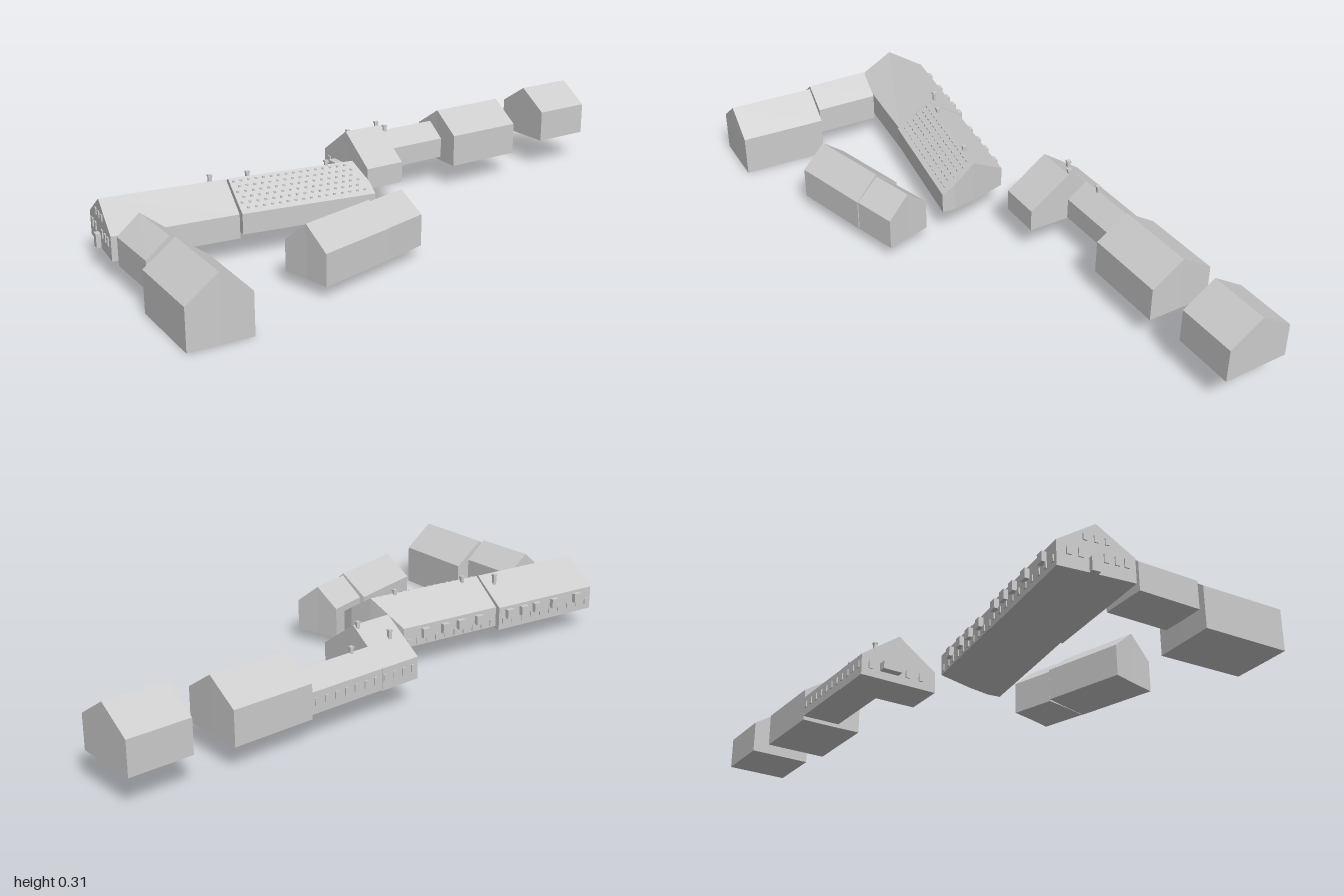
import * as THREE from 'three';

const grey = new THREE.MeshStandardMaterial({ color: 0xcccccc, flatShading: true });

// Gabled block: two end sections, each a row of [x, z, height] points, lofted and dropped to a base
function block(name, base, left, right) {
  const pos = [];
  const top = p => [p[0], p[2], p[1]];
  const low = p => [p[0], base, p[1]];
  const quad = (a, b, c, d) => pos.push(...a, ...b, ...c, ...a, ...c, ...d);
  const n = left.length - 1;
  for (let i = 0; i < n; i++) {
    const [l, m, r, s] = [left[i], left[i + 1], right[i], right[i + 1]];
    quad(top(l), top(m), top(s), top(r)); // roof
    quad(low(l), low(m), top(m), top(l)); // left end
    quad(low(s), low(r), top(r), top(s)); // right end
    quad(low(l), low(r), low(s), low(m)); // floor
  }
  quad(low(right[0]), low(left[0]), top(left[0]), top(right[0]));
  quad(low(left[n]), low(right[n]), top(right[n]), top(left[n]));
  const g = new THREE.BufferGeometry();
  g.setAttribute('position', new THREE.Float32BufferAttribute(pos, 3));
  g.computeVertexNormals();
  const mesh = new THREE.Mesh(g, grey);
  mesh.name = name;
  return mesh;
}

// Simple gable house from eave / ridge / eave points at both ends
function house(name, base, eave, ridge, left, right) {
  const h = [eave, ridge, eave];
  const lift = pts => pts.map((p, i) => [...p, h[i]]);
  return block(name, base, lift(left), lift(right));
}

function box(name, x, y, z, w, h, d, turn = 0) {
  const m = new THREE.Mesh(new THREE.BoxGeometry(w, h, d), grey);
  m.name = name;
  m.position.set(x, y, z);
  m.rotation.y = turn;
  return m;
}

// Box set on a wall running from p to q at fraction t
function onWall(name, p, q, t, y, w, h, d) {
  const dx = q[0] - p[0], dz = q[1] - p[1];
  return box(name, p[0] + dx * t, y, p[1] + dz * t, w, h, d, Math.atan2(-dz, dx));
}

export function createModel() {
  const model = new THREE.Group();
  model.name = 'farmstead';
  const add = (...m) => model.add(...m);

  // Detached house and the stepped range beside it
  add(
    house('detachedHouse', 0.113, 0.235, 0.313,
      [[0.625, -0.88], [0.69, -0.78], [0.755, -0.68]],
      [[0.815, -1], [0.88, -0.9], [0.945, -0.8]]),
    house('barn', 0.088, 0.212, 0.29,
      [[0.245, -0.637], [0.31, -0.537], [0.37, -0.437]],
      [[0.5, -0.8], [0.565, -0.7], [0.628, -0.6]]),
    house('linkWing', 0.103, 0.18, 0.235,
      [[-0.07, -0.438], [-0.03, -0.376], [0.01, -0.313]],
      [[0.25, -0.64], [0.29, -0.578], [0.33, -0.515]]),
    house('crossWing', 0.1, 0.18, 0.288,
      [[-0.14, -0.395], [-0.06, -0.267], [0.02, -0.138]],
      [[-0.005, -0.48], [0.073, -0.35], [0.152, -0.22]]));

  // Long main range in two halves; the east end is skewed with a bent corner
  add(
    house('mainRangeWest', 0.08, 0.168, 0.256,
      [[-0.948, 0.232], [-0.893, 0.36], [-0.838, 0.483]],
      [[-0.537, 0.05], [-0.482, 0.175], [-0.43, 0.29]]),
    block('mainRangeEast', 0.095,
      [[-0.525, 0.055, 0.17], [-0.475, 0.172, 0.256], [-0.44, 0.249, 0.2], [-0.42, 0.293, 0.17]],
      [[-0.145, -0.113, 0.17], [-0.04, -0.013, 0.256], [0.02, 0.055, 0.2], [0.04, 0.098, 0.17]]));

  // Yard building in two lengths
  add(
    house('yardBuilding', 0.042, 0.157, 0.235,
      [[-0.27, 0.49], [-0.2, 0.555], [-0.135, 0.622]],
      [[-0.06, 0.273], [0.01, 0.338], [0.077, 0.403]]),
    house('yardBuildingEnd', 0.042, 0.157, 0.228,
      [[-0.045, 0.274], [0.012, 0.336], [0.077, 0.4]],
      [[0.063, 0.157], [0.125, 0.217], [0.192, 0.277]]));

  // South wing: lower linking part and larger end barn
  add(
    house('southLink', 0.07, 0.172, 0.24,
      [[-0.67, 0.41], [-0.745, 0.453], [-0.815, 0.495]],
      [[-0.55, 0.615], [-0.622, 0.658], [-0.695, 0.698]]),
    house('southBarn', 0, 0.15, 0.237,
      [[-0.505, 0.603], [-0.605, 0.657], [-0.705, 0.713]],
      [[-0.35, 0.883], [-0.447, 0.938], [-0.547, 0.993]]));

  // Chimneys: x, z, top
  for (const [x, z, top] of [[-0.54, 0.155, 0.266], [-0.41, 0.135, 0.272], [-0.135, 0.025, 0.272],
    [-0.05, -0.355, 0.268], [0.058, -0.352, 0.302], [0.095, -0.455, 0.256]]) {
    add(box('chimney', x, top - 0.025, z, 0.012, 0.05, 0.012, 0.4),
      box('chimneyCap', x, top - 0.004, z, 0.016, 0.006, 0.016, 0.4));
  }

  // Projecting bays and windows along the back walls
  const walls = [
    { p: [-0.948, 0.232], q: [-0.537, 0.05], bays: [0.17, 0.42, 0.61, 0.75, 0.9] },
    { p: [-0.525, 0.055], q: [-0.145, -0.113], bays: [0.2, 0.4, 0.57, 0.78] },
  ];
  for (const { p, q, bays } of walls) {
    for (const t of bays) add(onWall('bay', p, q, t, 0.14, 0.03, 0.035, 0.034));
    for (let i = 0; i < 10; i++) add(onWall('window', p, q, 0.05 + i * 0.1, 0.113, 0.014, 0.024, 0.008));
  }
  for (let i = 0; i < 11; i++) {
    add(onWall('window', [-0.14, -0.395], [0.25, -0.64], 0.05 + i * 0.09, 0.145, 0.014, 0.026, 0.008));
  }

  // West gable of the main range: porch, ground and attic windows
  const gp = [-0.948, 0.232], gq = [-0.838, 0.483];
  add(onWall('porch', gp, gq, 0.46, 0.105, 0.03, 0.05, 0.036));
  for (const t of [0.15, 0.3, 0.62, 0.76, 0.88]) add(onWall('window', gp, gq, t, 0.14, 0.016, 0.03, 0.01));
  for (const t of [0.36, 0.5, 0.64]) add(onWall('atticWindow', gp, gq, t, 0.2, 0.014, 0.024, 0.01));

  // West gable of the cross wing: bay and windows
  const cp = [-0.14, -0.395], cq = [0.02, -0.138];
  add(onWall('sideBay', cp, cq, 0.37, 0.145, 0.075, 0.03, 0.06));
  for (const t of [0.12, 0.62, 0.8]) add(onWall('window', cp, cq, t, 0.145, 0.016, 0.03, 0.01));

  // Small staggered vents on the south roof slope of the east half
  for (let r = 0; r < 6; r++) {
    const s = 0.1 + r * 0.15;
    for (let c = 0; c < 16; c++) {
      const t = 0.03 + (c + (r % 2) / 2) * 0.059;
      const x = THREE.MathUtils.lerp(-0.475 + 0.055 * s, -0.04 + 0.08 * s, t);
      const z = THREE.MathUtils.lerp(0.172 + 0.121 * s, -0.013 + 0.111 * s, t);
      add(box('roofVent', x, 0.256 - 0.086 * s, z, 0.009, 0.008, 0.006, 0.4));
    }
  }
  return model;
}
